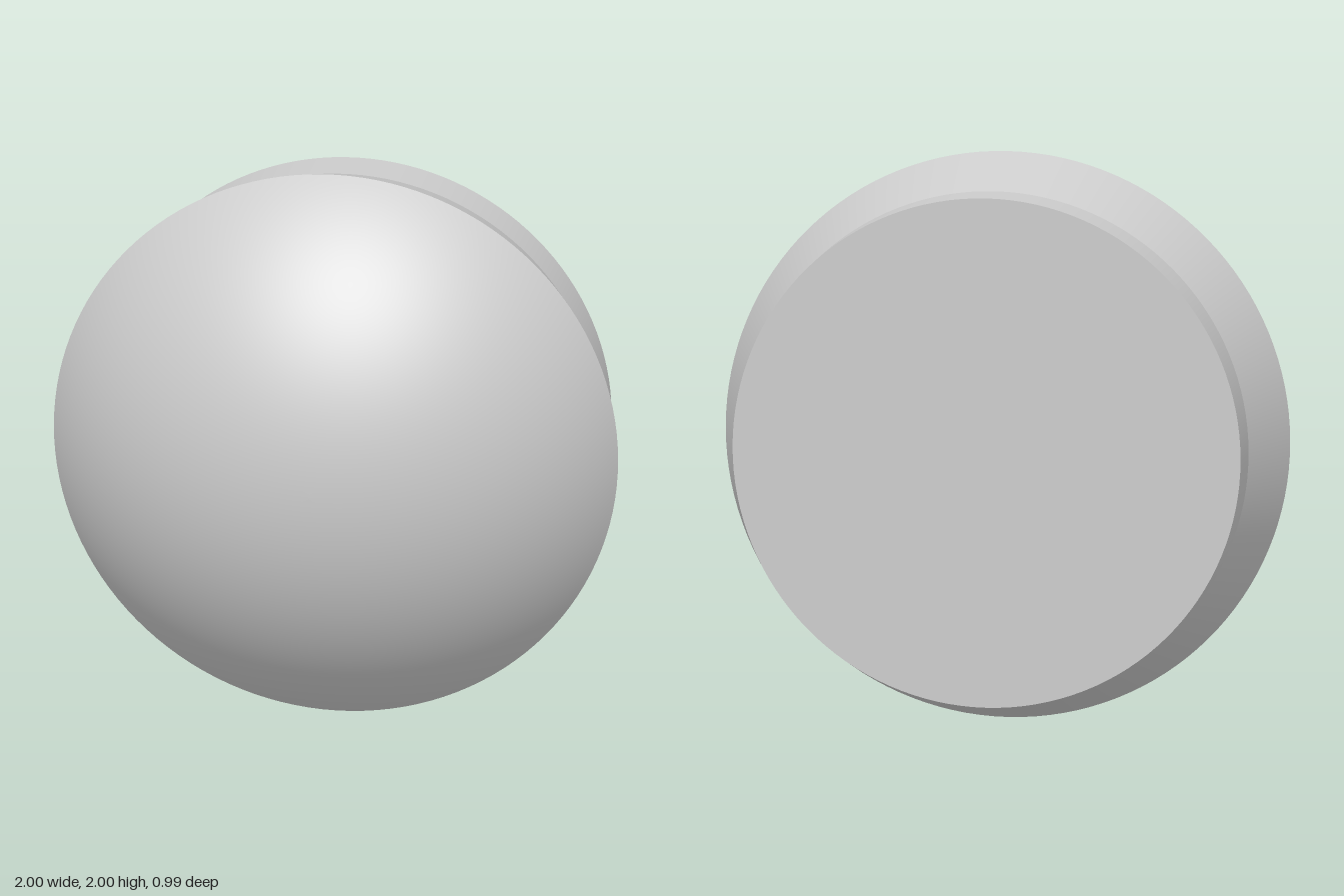
import * as THREE from 'three';

const SEGMENTS = 128;
const RIM_Z = -0.055, FRONT_Z = 0.495, NECK_Z = -0.33, BACK_Z = -0.495;
const RIM_R = 1, NECK_R = 0.9;

export function createModel() {
  const group = new THREE.Group();
  group.name = 'domedButton';
  const material = new THREE.MeshStandardMaterial({ color: 0xcccccc });

  // Turns a [radius, z] profile, listed back to front, about the z axis
  const addTurned = (name, profile) => {
    const points = profile.map(([r, z]) => new THREE.Vector2(r, z));
    const geometry = new THREE.LatheGeometry(points, SEGMENTS);
    geometry.rotateX(Math.PI / 2);
    const mesh = new THREE.Mesh(geometry, material);
    mesh.name = name;
    mesh.position.y = RIM_R;
    group.add(mesh);
  };

  // Front dome: a spherical cap from the rim to the centre
  const height = FRONT_Z - RIM_Z;
  const radius = (RIM_R ** 2 + height ** 2) / (2 * height);
  const rimAngle = Math.asin(RIM_R / radius);
  const dome = [];
  const steps = 40;
  for (let i = 0; i <= steps; i++) {
    const a = rimAngle * (1 - i / steps);
    dome.push([radius * Math.sin(a), FRONT_Z - radius + radius * Math.cos(a)]);
  }
  addTurned('dome', dome);

  // Separate sections keep the edges between them sharp
  addTurned('taperedSide', [[NECK_R, NECK_Z], [RIM_R, RIM_Z]]);
  addTurned('base', [[NECK_R, BACK_Z], [NECK_R, NECK_Z]]);
  addTurned('backFace', [[0, BACK_Z], [NECK_R, BACK_Z]]);

  return group;
}
